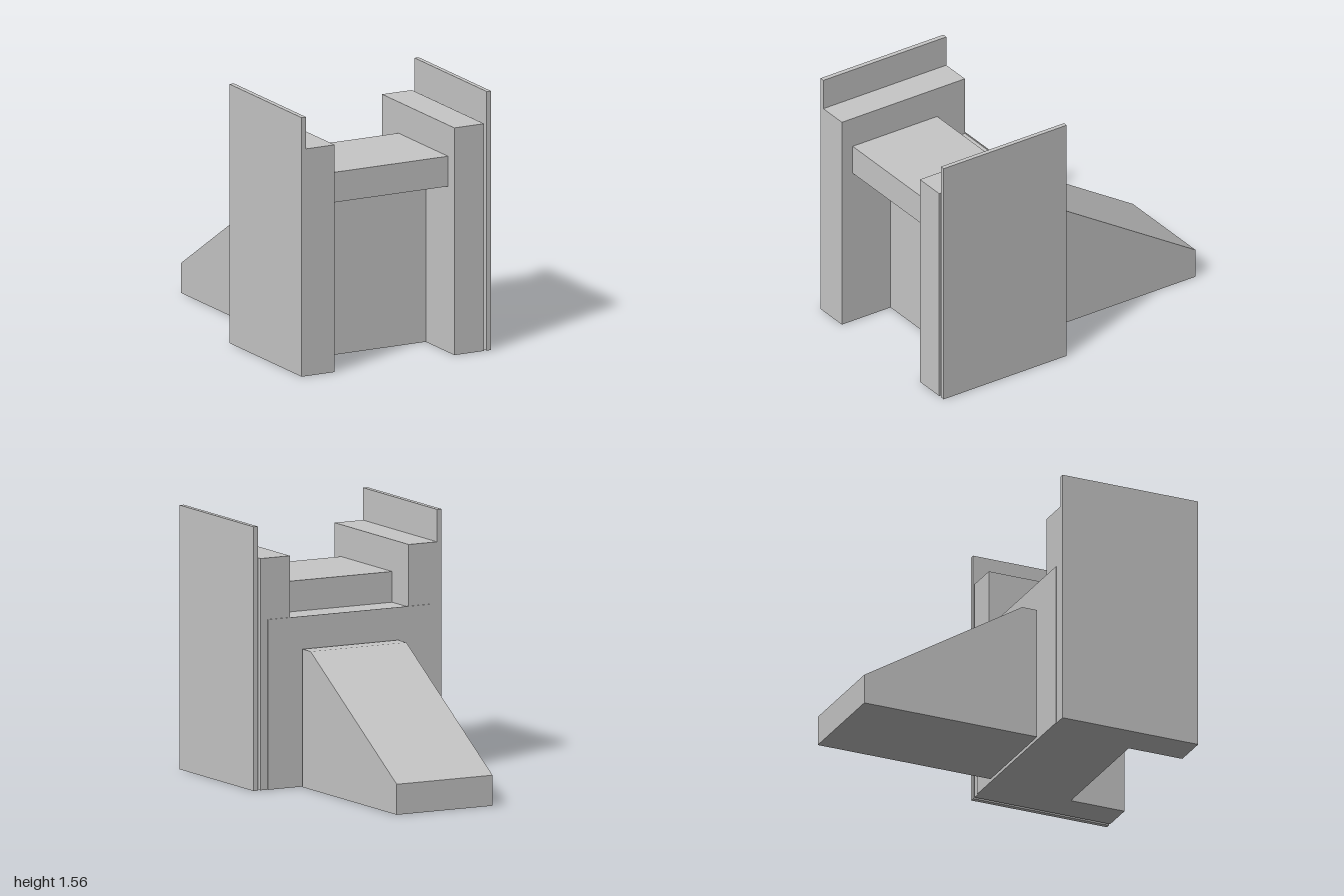
import * as THREE from 'three';

export function createModel() {
  const model = new THREE.Group();
  const grey = new THREE.MeshStandardMaterial({ color: 0xc6c6c6 });
  grey.name = 'light grey';

  // Box given by its limits on each axis
  function block(name, [x0, x1], [y0, y1], [z0, z1]) {
    const mesh = new THREE.Mesh(new THREE.BoxGeometry(x1 - x0, y1 - y0, z1 - z0), grey);
    mesh.position.set((x0 + x1) / 2, (y0 + y1) / 2, (z0 + z1) / 2);
    mesh.name = name;
    model.add(mesh);
  }

  const depth = [0.13, 1];

  // Right side: tall panel joined to its pillar
  block('rightPanel', [-0.63, -0.6], [0, 1.557], depth);
  block('rightPillar', [-0.6, -0.411], [0, 1.366], depth);

  // Left side: tall panel standing just clear of its pillar
  block('leftPillar', [0.383, 0.58], [0, 1.366], depth);
  block('leftPanel', [0.598, 0.626], [0, 1.557], depth);

  // Recessed wall between the pillars, with an overhanging beam on top
  block('wall', [-0.411, 0.383], [0, 0.997], [0.13, 0.656]);
  block('beam', [-0.411, 0.383], [0.997, 1.178], [0.326, 0.924]);

  // Thin plate on the back of the wall
  block('backPlate', [-0.55, 0.532], [0, 1.003], [0.125, 0.13]);

  // Ramp behind: side profile in (-z, y), extruded across x
  const profile = new THREE.Shape([
    [-0.108, 0], [1, 0], [1, 0.18], [-0.012, 0.813], [-0.108, 0.813],
  ].map(([u, v]) => new THREE.Vector2(u, v)));
  const rampGeometry = new THREE.ExtrudeGeometry(profile, { depth: 0.64, bevelEnabled: false });
  rampGeometry.rotateY(Math.PI / 2);
  const ramp = new THREE.Mesh(rampGeometry, grey);
  ramp.position.x = -0.328;
  ramp.name = 'ramp';
  model.add(ramp);

  return model;
}
